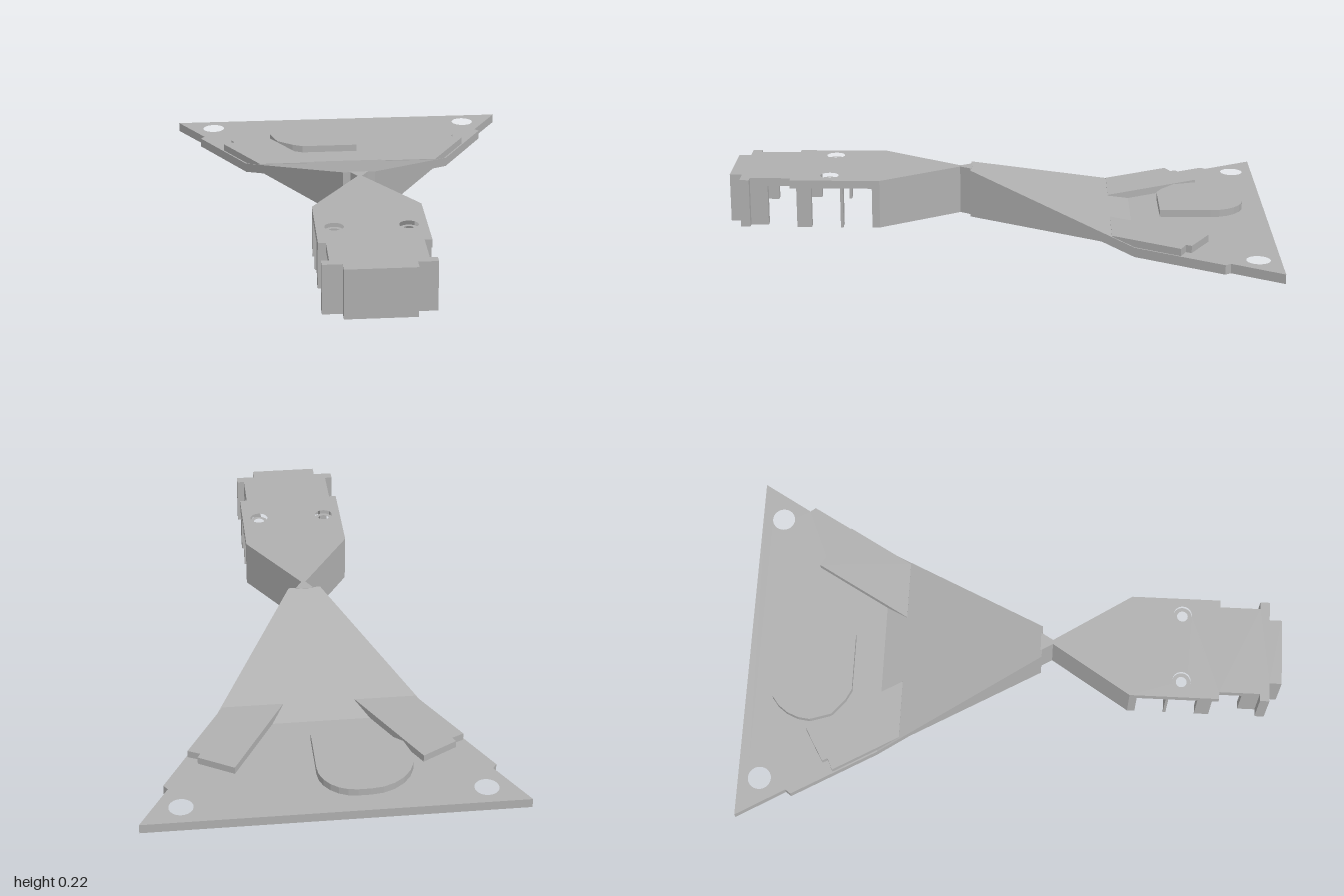
import * as THREE from 'three';

const grey = new THREE.MeshStandardMaterial({ color: 0xb0b0b0 });
grey.name = 'plain grey';

const asFn = (v) => (typeof v === 'function' ? v : () => v);
const mirrorX = (pts) => pts.map(([x, z]) => [-x, z]);
// closes a right-hand outline with its mirror image
const symmetric = (pts) => [...pts, ...mirrorX(pts).reverse()];
const toVec = (pts) => pts.map(([x, z]) => new THREE.Vector2(x, -z));
const circle = (x, z, r) => Array.from({ length: 32 }, (_, i) => {
  const a = (i / 32) * Math.PI * 2;
  return [x + r * Math.cos(a), z + r * Math.sin(a)];
});

// prism over a plan outline [x, z]; bottom and top heights may vary with z
function prism(name, outline, bottom, top, holes = []) {
  const shape = new THREE.Shape(toVec(outline));
  for (const h of holes) shape.holes.push(new THREE.Path(toVec(h)));
  const geo = new THREE.ExtrudeGeometry(shape, { depth: 1, bevelEnabled: false });
  geo.rotateX(-Math.PI / 2);
  const lo = asFn(bottom), hi = asFn(top), p = geo.attributes.position;
  for (let i = 0; i < p.count; i++) {
    const z = p.getZ(i);
    p.setY(i, p.getY(i) > 0.5 ? hi(z) : lo(z));
  }
  geo.computeVertexNormals();
  const mesh = new THREE.Mesh(geo, grey);
  mesh.name = name;
  return mesh;
}

export function createModel() {
  const model = new THREE.Group();
  model.name = 'bracket';
  const add = (...args) => model.add(prism(...args));
  const addPair = (name, pts, lo, hi) => {
    add(name + 'Left', pts, lo, hi);
    add(name + 'Right', mirrorX(pts), lo, hi);
  };

  const base = 0.035, roof = 0.185, top = 0.215;
  const slope = (z) => base + 0.3 * (z + 0.49);
  const edge = (z) => 0.06 + (0.11 - z) * 0.5714;

  // front cover with two countersunk screw holes
  const screws = [[0.13, 0.63], [-0.13, 0.63]];
  add('coverTop', symmetric([[0.008, 0.15], [0.195, 0.44], [0.195, 0.77], [0.168, 0.77],
    [0.168, 0.92], [0.195, 0.92], [0.195, 0.955], [0.125, 0.955], [0.125, 1]]),
  roof, top, screws.map(([x, z]) => circle(x, z, 0.034)));
  for (const [x, z] of screws) {
    add('screwSeat', circle(x, z, 0.034), roof, 0.2, [circle(x, z, 0.02)]);
  }

  // cover walls and posts
  add('coverFront', [
    [0.168, 0.855], [0.168, 0.92], [0.195, 0.92], [0.195, 0.955], [0.125, 0.955], [0.125, 1],
    [-0.125, 1], [-0.125, 0.955], [-0.195, 0.955], [-0.195, 0.92], [-0.168, 0.92], [-0.168, 0.855],
    [-0.14, 0.855], [-0.14, 0.93], [-0.1, 0.93], [-0.1, 0.975],
    [0.1, 0.975], [0.1, 0.93], [0.14, 0.93], [0.14, 0.855]], base, roof);
  addPair('coverWall', [[0.008, 0.15], [0.195, 0.44], [0.195, 0.468], [0.168, 0.468],
    [0.168, 0.448], [0, 0.188], [0, 0.15]], base, roof);
  addPair('widePost', [[0.165, 0.692], [0.195, 0.692], [0.195, 0.746], [0.165, 0.746]], base, roof);
  addPair('thinPost', [[0.15, 0.575], [0.195, 0.575], [0.195, 0.585], [0.15, 0.585]], base, roof);

  // narrow neck joining cover and fan
  add('neck', symmetric([[0.035, 0.105], [0.008, 0.15]]), base, top);

  // sloping fan and the walls beneath its edges
  add('fanSlope', symmetric([[edge(-0.49), -0.49], [edge(0.11), 0.11]]),
    (z) => slope(z) - 0.035, slope);
  const wallEnd = -0.373;
  addPair('fanWall', [[edge(wallEnd), wallEnd], [edge(0.11), 0.11],
    [edge(0.11) - 0.028, 0.11], [edge(wallEnd) - 0.028, wallEnd]],
  base, (z) => Math.max(base, slope(z) - 0.035));

  // flat back plate with mounting holes and pockets beneath the raised pads
  const pocket = [[0.27, -0.51], [0.35, -0.73], [0.44, -0.68], [0.36, -0.51]];
  add('backPlate', symmetric([[0.67, -1], [0.565, -0.82], [0.58, -0.8], [edge(-0.49), -0.49]]),
    0, base, [circle(0.525, -0.92, 0.043), circle(-0.525, -0.92, 0.043), pocket, mirrorX(pocket)]);

  // raised side pads
  addPair('sidePad', [[0.13, -0.41], [0.33, -0.76], [0.455, -0.69], [0.445, -0.67],
    [0.488, -0.65], [0.35, -0.41]], 0.028, 0.062);

  // plain rounded raised pad
  const pad = [[0.05, -0.6], ...[0, 1, 2, 3, 4, 5, 6].map((i) => {
    const a = (i / 6) * Math.PI / 2;
    return [-0.08 + 0.13 * Math.cos(a), -0.79 - 0.13 * Math.sin(a)];
  }), ...[0, 1, 2, 3, 4, 5, 6].map((i) => {
    const a = Math.PI / 2 + (i / 6) * Math.PI / 2;
    return [-0.125 + 0.17 * Math.cos(a), -0.75 - 0.17 * Math.sin(a)];
  }), [-0.27, -0.67], [-0.21, -0.62], [-0.17, -0.6]];
  add('roundedPad', pad, 0.028, 0.062);

  return model;
}
